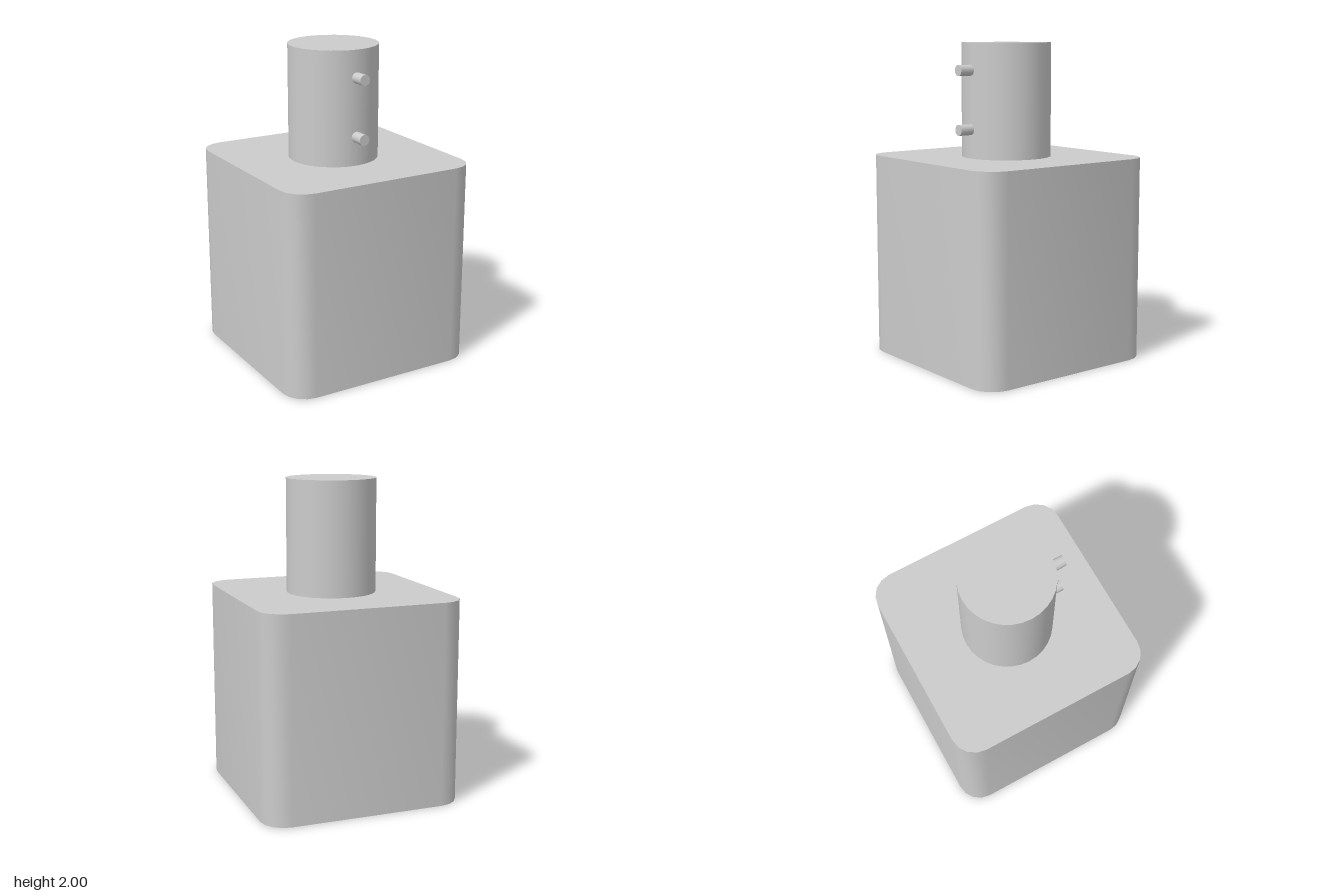
import * as THREE from 'three';
import { toCreasedNormals } from 'three/addons/utils/BufferGeometryUtils.js';

const material = new THREE.MeshStandardMaterial({ color: 0xcccccc });

function addPart(group, name, geometry) {
  const mesh = new THREE.Mesh(geometry, material);
  mesh.name = name;
  group.add(mesh);
  return mesh;
}

// Square outline with rounded corners
function roundedSquare(half, radius) {
  const shape = new THREE.Shape();
  const c = half - radius;
  [[c, c], [-c, c], [-c, -c], [c, -c]].forEach(([x, y], i) => {
    shape.absarc(x, y, radius, i * Math.PI / 2, (i + 1) * Math.PI / 2, false);
  });
  shape.closePath();
  return shape;
}

export function createModel() {
  const group = new THREE.Group();
  const bodyHeight = 1.285, neckRadius = 0.282, neckHeight = 2 - bodyHeight;

  // Body: upright block, rounded on its four vertical edges
  const body = new THREE.ExtrudeGeometry(roundedSquare(0.642, 0.152), {
    depth: bodyHeight, bevelEnabled: false, curveSegments: 2,
  });
  body.rotateX(-Math.PI / 2);
  addPart(group, 'body', toCreasedNormals(body, 0.6));

  // Neck: cylinder standing on the body
  const neck = new THREE.CylinderGeometry(neckRadius, neckRadius, neckHeight, 32);
  addPart(group, 'neck', neck).position.y = bodyHeight + neckHeight / 2;

  // Pegs: two small pins on the front of the neck
  const pegStart = 0.27, pegEnd = 0.373;
  for (const [name, y] of [['upperPeg', 1.83], ['lowerPeg', 1.465]]) {
    const peg = new THREE.CylinderGeometry(0.034, 0.034, pegEnd - pegStart, 16);
    peg.rotateX(Math.PI / 2);
    addPart(group, name, peg).position.set(0, y, (pegStart + pegEnd) / 2);
  }
  return group;
}
